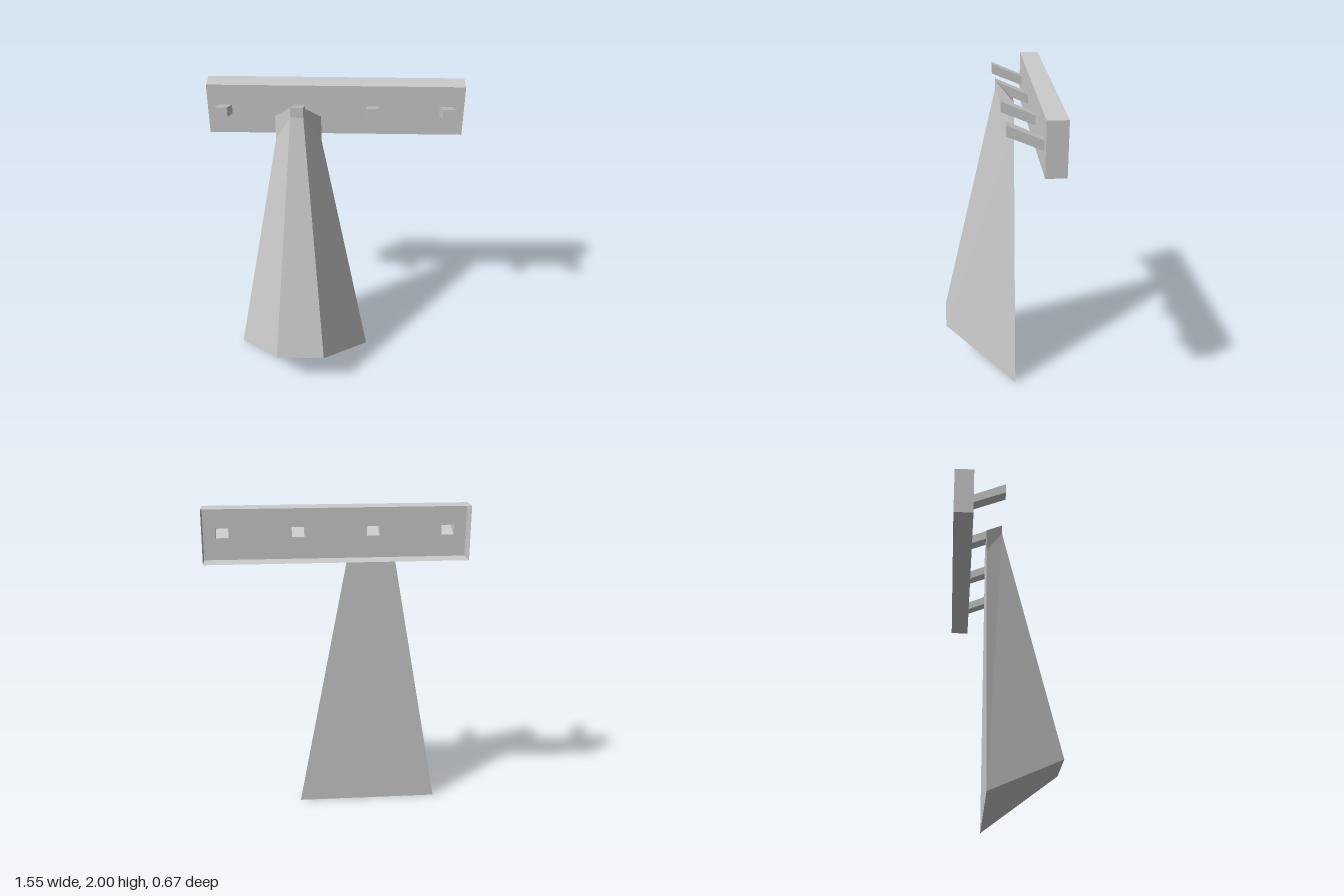
import * as THREE from 'three';

const material = new THREE.MeshStandardMaterial({ color: 0xcccccc, flatShading: true, side: THREE.DoubleSide });

// Skins a stack of four-cornered rings, with optional end caps
function loft(rings, capStart, capEnd) {
  const pos = [];
  const quad = (a, b, c, d) => pos.push(...a, ...b, ...c, ...a, ...c, ...d);
  for (let r = 0; r < rings.length - 1; r++) {
    const lo = rings[r], hi = rings[r + 1];
    for (let i = 0; i < 4; i++) {
      const j = (i + 1) % 4;
      quad(lo[i], lo[j], hi[j], hi[i]);
    }
  }
  if (capStart) quad(...[...rings[0]].reverse());
  if (capEnd) quad(...rings[rings.length - 1]);
  const g = new THREE.BufferGeometry();
  g.setAttribute('position', new THREE.Float32BufferAttribute(pos, 3));
  g.computeVertexNormals();
  return g;
}

// Upright rectangle at depth z
const rect = (x0, x1, y0, y1, z) => [[x0, y0, z], [x1, y0, z], [x1, y1, z], [x0, y1, z]];

function add(parent, name, geometry) {
  const mesh = new THREE.Mesh(geometry, material);
  mesh.name = name;
  parent.add(mesh);
  return mesh;
}

export function createModel() {
  const model = new THREE.Group();
  model.name = 'coatRack';

  const W = 0.775, Y0 = 1.68, Y1 = 2, BACK = -0.335, FRONT = -0.215;
  const pegXs = [-0.665, -0.222, 0.222, 0.665], half = 0.037;
  const rootY = [1.81, 1.868], tipY = [1.893, 1.955], tipZ = -0.015;

  // Board: four thin walls, open at the back
  const board = new THREE.Group();
  board.name = 'board';
  model.add(board);
  add(board, 'boardWalls', loft([rect(-W, W, Y0, Y1, BACK), rect(-W, W, Y0, Y1, FRONT)], false, false));

  // Board front with a square hole behind each peg
  const path = (P, corners) => new P(corners.map(([x, y]) => new THREE.Vector2(x, y)));
  const plate = path(THREE.Shape, rect(-W, W, Y0, Y1, 0));
  for (const x of pegXs) plate.holes.push(path(THREE.Path, rect(x - half, x + half, ...rootY, 0).reverse()));
  add(board, 'boardFront', new THREE.ShapeGeometry(plate)).position.z = FRONT;

  // Hollow pegs rising toward closed tips
  for (const x of pegXs) {
    add(model, 'peg', loft([
      rect(x - half, x + half, ...rootY, FRONT),
      rect(x - half, x + half, ...tipY, tipZ),
    ], false, true));
  }

  // Hanging coat: hem, neck and top rings, with a flat back
  const coatX = -0.222, coatBack = -0.12;
  const coatRing = (backHalf, backY, frontHalf, frontY, frontZ) => [
    [coatX - backHalf, backY, coatBack],
    [coatX - frontHalf, frontY, frontZ],
    [coatX + frontHalf, frontY, frontZ],
    [coatX + backHalf, backY, coatBack],
  ];
  add(model, 'coat', loft([
    coatRing(0.448, 0, 0.157, 0.283, 0.335),
    coatRing(0.138, 1.69, 0.038, 1.893, -0.014),
    coatRing(0.138, 1.845, 0.038, 1.957, -0.014),
  ], true, true));

  return model;
}
